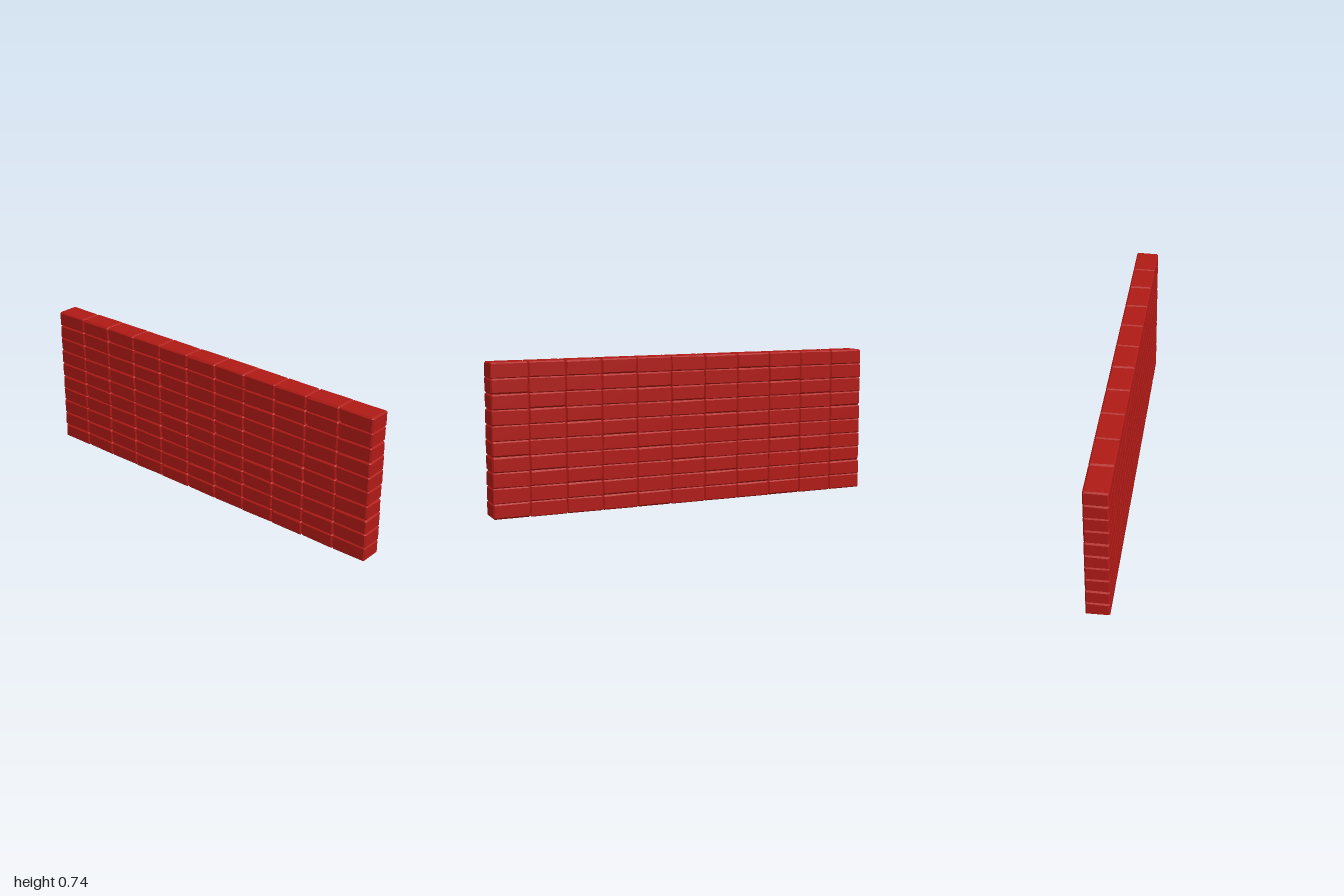
import * as THREE from 'three';
import { ConvexGeometry } from 'three/addons/geometries/ConvexGeometry.js';

const COLUMNS = 11, ROWS = 10;
const W = 2 / COLUMNS, H = 0.0735, D = 0.114;

// Small seeded generator for the slightly uneven chamfers
function seeded(seed) {
  return () => (seed = (seed * 16807) % 2147483647) / 2147483647;
}

// Chamfered block: each corner is cut back by its own small amount
function brickGeometry(seed) {
  const rand = seeded(seed);
  const points = [];
  for (const sx of [-1, 1]) for (const sy of [-1, 1]) for (const sz of [-1, 1]) {
    const c = 0.004 + 0.006 * rand();
    const x = W / 2, y = H / 2, z = D / 2;
    points.push(
      new THREE.Vector3(sx * x, sy * (y - c), sz * (z - c)),
      new THREE.Vector3(sx * (x - c), sy * y, sz * (z - c)),
      new THREE.Vector3(sx * (x - c), sy * (y - c), sz * z)
    );
  }
  return new ConvexGeometry(points);
}

export function createModel() {
  const wall = new THREE.Group();
  wall.name = 'brickWall';
  const material = new THREE.MeshStandardMaterial({ color: 0xb01a16, flatShading: true });
  const shapes = [1234, 5678, 91011, 3141].map(brickGeometry);

  // Stacked courses with aligned joints
  for (let row = 0; row < ROWS; row++) {
    const course = new THREE.Group();
    course.name = `course${row + 1}`;
    course.position.y = (row + 0.5) * H;
    for (let col = 0; col < COLUMNS; col++) {
      const brick = new THREE.Mesh(shapes[(col + row * 3) % shapes.length], material);
      brick.name = `brick${col + 1}`;
      brick.position.x = -1 + (col + 0.5) * W;
      course.add(brick);
    }
    wall.add(course);
  }
  return wall;
}
